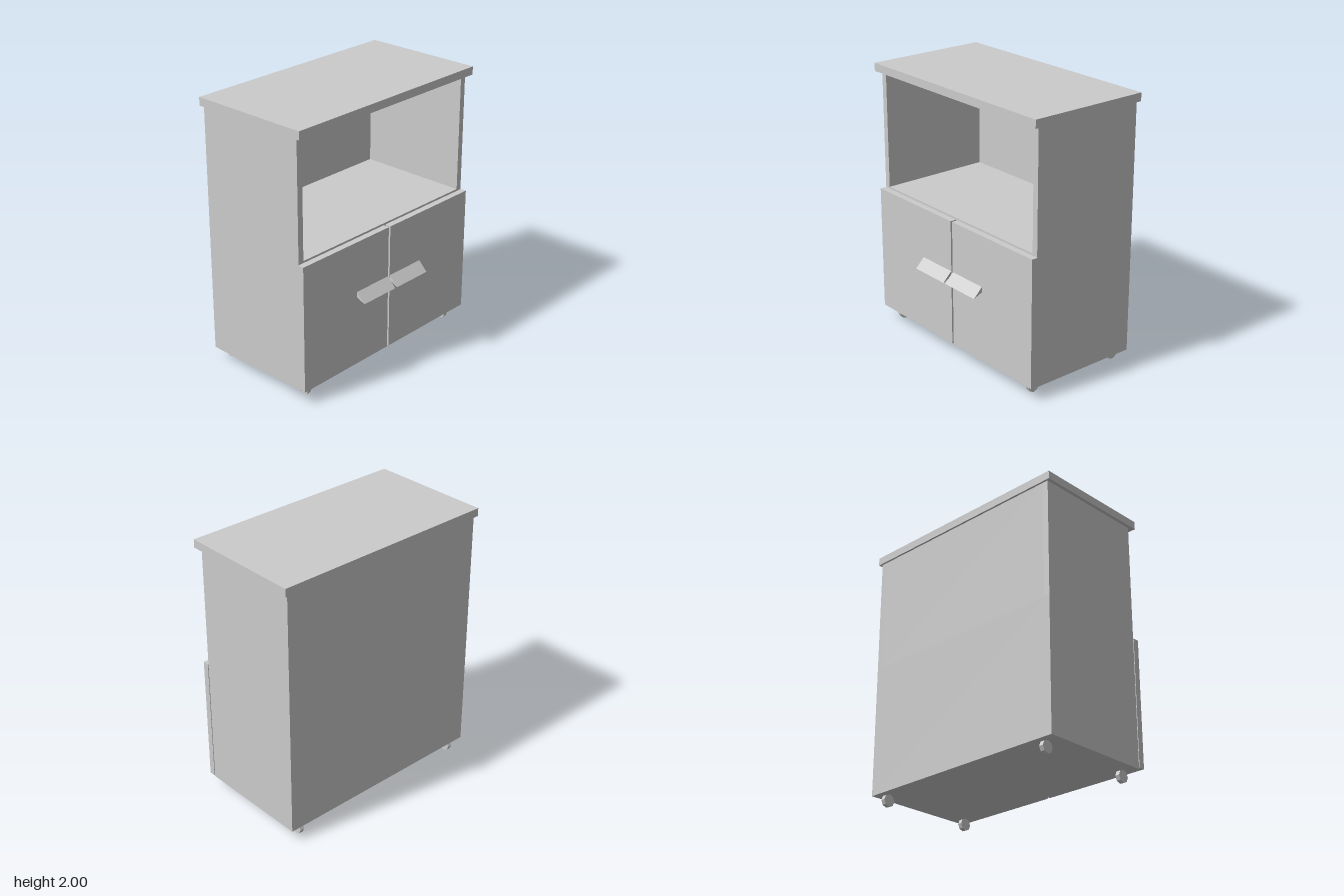
import * as THREE from 'three';

export function createModel() {
  const model = new THREE.Group();
  model.name = 'cabinet';
  const material = new THREE.MeshStandardMaterial({ color: 0xcccccc, flatShading: true });

  const add = (name, geometry) => {
    const mesh = new THREE.Mesh(geometry, material);
    mesh.name = name;
    model.add(mesh);
    return mesh;
  };
  // Box given by its extents along each axis
  const box = (name, [x0, x1], [y0, y1], [z0, z1]) =>
    add(name, new THREE.BoxGeometry(x1 - x0, y1 - y0, z1 - z0))
      .position.set((x0 + x1) / 2, (y0 + y1) / 2, (z0 + z1) / 2);

  const W = 0.845, front = 0.38, back = -0.485, shelfY = 1.065, topY = 1.94;

  // Overhanging top, lower body and the back of the open niche
  box('top', [-0.87, 0.87], [topY, 2], [-0.5, 0.427]);
  box('lowerBody', [-W, W], [0.09, shelfY], [back, front]);
  box('backPanel', [-0.8, 0.8], [shelfY, topY], [back, -0.473]);

  // Handle cross-section: a thin wedge sloping down and outwards
  const wedge = new THREE.Shape([
    new THREE.Vector2(0, 0.63),
    new THREE.Vector2(0.07, 0.6),
    new THREE.Vector2(0, 0.67),
  ]);

  for (const [side, s] of [['left', 1], ['right', -1]]) {
    const span = (a, b) => (s > 0 ? [a, b] : [-b, -a]);

    box(side + 'NicheWall', span(0.8, W), [shelfY, topY], [back, front]);
    box(side + 'Door', span(0.008, 0.85), [0.1, 1.05], [front, 0.427]);

    // Door handle, extruded across the door
    const handle = add(side + 'Handle',
      new THREE.ExtrudeGeometry(wedge, { depth: 0.322, bevelEnabled: false }));
    handle.rotation.y = -Math.PI / 2;
    handle.position.set(s > 0 ? 0.332 : -0.01, 0, 0.427);

    // Eight-sided caster wheels
    for (const [end, z] of [['Front', 0.32], ['Back', -0.425]]) {
      const wheel = add(side + end + 'Wheel', new THREE.CylinderGeometry(0.046, 0.046, 0.032, 8));
      wheel.rotation.z = Math.PI / 2;
      wheel.position.set(s * 0.743, 0.046, z);
    }
  }
  return model;
}
